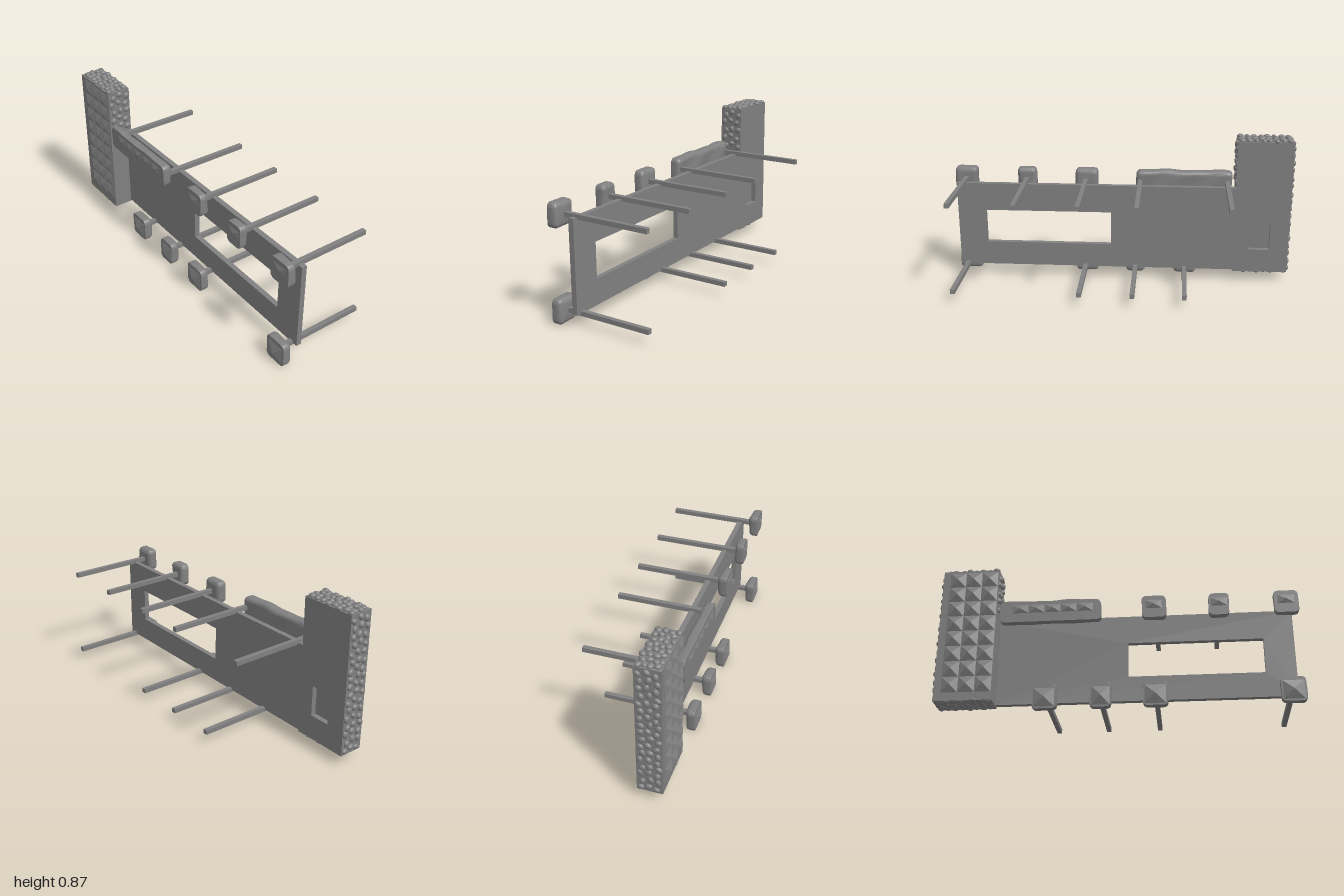
import * as THREE from 'three';
import { mergeGeometries, mergeVertices, toCreasedNormals } from 'three/addons/utils/BufferGeometryUtils.js';

const stoneGrey = new THREE.MeshStandardMaterial({ color: 0x808080 });
const facetGrey = new THREE.MeshStandardMaterial({ color: 0x808080, flatShading: true, side: THREE.DoubleSide });

let seed = 7;
const rand = () => (seed = (seed * 16807) % 2147483647) / 2147483647;
const vary = (a) => (rand() * 2 - 1) * a;

function add(parent, name, geometry, material = stoneGrey) {
  const mesh = new THREE.Mesh(geometry, material);
  mesh.name = name;
  parent.add(mesh);
  return mesh;
}

function box(parent, name, x0, x1, y0, y1, z0, z1) {
  const mesh = add(parent, name, new THREE.BoxGeometry(x1 - x0, y1 - y0, z1 - z0));
  mesh.position.set((x0 + x1) / 2, (y0 + y1) / 2, (z0 + z1) / 2);
}

// Four-sided stud pointing forward
const studGeometry = new THREE.ConeGeometry(Math.SQRT1_2, 1, 4, 1, true);
studGeometry.rotateY(Math.PI / 4).rotateX(Math.PI / 2).translate(0, 0, 0.5);
function stud(parent, x, y, z, w, h, d) {
  const mesh = add(parent, 'stud', studGeometry, facetGrey);
  mesh.position.set(x, y, z);
  mesh.scale.set(w, h, d);
}

// Worn stone block: box rounded by rule, gently uneven, flat at the front
function stone(parent, name, x, y, w, h, wave = 0) {
  const d = 0.072, r = 0.024, front = 0.27;
  let g = new THREE.BoxGeometry(w, h, d, Math.round(w / 0.009), Math.round(h / 0.009), 9);
  g.deleteAttribute('normal');
  g.deleteAttribute('uv');
  g = mergeVertices(g);
  const p = g.attributes.position;
  const v = new THREE.Vector3(), core = new THREE.Vector3();
  const inner = new THREE.Vector3(w / 2 - r, h / 2 - r, d / 2 - r);
  for (let i = 0; i < p.count; i++) {
    v.fromBufferAttribute(p, i);
    core.copy(v).clamp(inner.clone().negate(), inner);
    v.sub(core);
    if (v.length() > 0) v.setLength(r);
    v.add(core);
    const t = v.x + x;
    v.x += 0.002 * Math.sin(v.y * 22 + x * 9);
    if (v.y > 0) v.y += wave * (Math.sin(t * 19) + 0.5 * Math.sin(t * 41)) * v.y / h;
    if (v.z < 0) v.z += 0.003 * Math.sin(t * 25 + v.y * 30);
    p.setXYZ(i, v.x + x, v.y + y, Math.min(v.z + 0.251, front));
  }
  add(parent, name, toCreasedNormals(g, 0.6));
}

// Field of flattened oval pebbles; place(u, v) gives a point, normal axis is 0 = x or 1 = y
function pebbles(parent, name, cols, rows, size, axis, place) {
  const parts = [];
  for (let i = 0; i < cols; i++) {
    for (let j = 0; j < rows; j++) {
      const g = new THREE.IcosahedronGeometry(1, 2);
      const s = [size * (0.9 + vary(0.1)), size * (0.9 + vary(0.1)), size * (1.12 + vary(0.1))];
      s[axis] = 0.013 + vary(0.002);
      g.scale(...s);
      if (axis === 0) g.rotateX(vary(1.6)); else g.rotateY(vary(1.6));
      const stagger = j % 2 ? 0.12 : -0.12;
      const u = (i + 0.5 + stagger + vary(0.08)) / cols;
      const v = (j + 0.5 + (i % 2 ? 0.15 : -0.15) + vary(0.12)) / rows;
      g.translate(...place(u, v));
      parts.push(g);
    }
  }
  add(parent, name, mergeGeometries(parts));
}

function rectPath(Kind, x0, x1, y0, y1) {
  const s = new Kind();
  s.moveTo(x0, y0);
  s.lineTo(x1, y0);
  s.lineTo(x1, y1);
  s.lineTo(x0, y1);
  s.closePath();
  return s;
}

function panel(parent, name, outer, hole) {
  const shape = rectPath(THREE.Shape, ...outer);
  shape.holes.push(rectPath(THREE.Path, ...hole));
  add(parent, name, new THREE.ExtrudeGeometry(shape, { depth: 0.03, bevelEnabled: false })).position.z = 0.13;
}

export function createModel() {
  const model = new THREE.Group();
  model.name = 'climbingWall';

  // Wall with its window
  panel(model, 'wall', [-0.665, 0.97, 0.07, 0.58], [0.06, 0.805, 0.213, 0.415]);

  // Tower: back plate with a niche, solid front
  const tower = new THREE.Group();
  tower.name = 'tower';
  model.add(tower);
  panel(tower, 'towerBack', [-0.985, -0.665, 0.06, 0.855], [-0.875, -0.755, 0.2, 0.375]);
  box(tower, 'towerBody', -0.985, -0.665, 0.06, 0.855, 0.16, 0.27);

  // Studded front of the tower
  for (let c = 0; c < 3; c++) {
    for (let r = 0; r < 8; r++) {
      stud(tower, -0.9 + c * 0.0915, 0.154 + r * 0.092, 0.27, 0.0915, 0.092, 0.019);
    }
  }

  // Pebbled sides, top and bottom of the tower
  const zAt = (u) => 0.135 + u * 0.13;
  pebbles(tower, 'leftPebbles', 3, 5, 0.018, 0, (u, v) => [-0.666, 0.595 + v * 0.255, zAt(u)]);
  pebbles(tower, 'rightPebbles', 3, 17, 0.018, 0, (u, v) => [-0.985, 0.068 + v * 0.78, zAt(u)]);
  pebbles(tower, 'topPebbles', 8, 4, 0.018, 1, (u, v) => [-0.98 + u * 0.31, 0.859, zAt(v)]);
  pebbles(tower, 'bottomPebbles', 8, 4, 0.018, 1, (u, v) => [-0.98 + u * 0.31, 0.063, zAt(v)]);

  // Support bars running back from the stones
  const bar = (x, y) => box(model, 'supportBar', x - 0.013, x + 0.013, y - 0.013, y + 0.013, -0.288, 0.24);
  for (const x of [-0.619, -0.108, 0.214, 0.565, 0.928]) bar(x, 0.583);
  for (const x of [-0.377, -0.085, 0.214, 0.928]) bar(x, 0.071);

  // Upper stones with low studs
  for (const [x, w] of [[0.21, 0.134], [0.568, 0.112], [0.931, 0.134]]) {
    stone(model, 'upperStone', x, 0.583, w, 0.134);
    stud(model, x, 0.597, 0.27, 0.09, 0.05, 0.01);
  }

  // Long upper stone with a row of studs
  stone(model, 'longStone', -0.365, 0.581, 0.566, 0.13, 0.006);
  for (let i = 0; i < 5; i++) stud(model, -0.532 + i * 0.09, 0.597, 0.27, 0.09, 0.05, 0.01);

  // Lower stones, each with one large stud
  for (const [x, w] of [[-0.383, 0.134], [-0.08, 0.115], [0.21, 0.134], [0.931, 0.134]]) {
    stone(model, 'lowerStone', x, 0.0695, w, 0.139);
    stud(model, x, 0.064, 0.27, w * 0.84, 0.105, 0.019);
  }

  return model;
}
